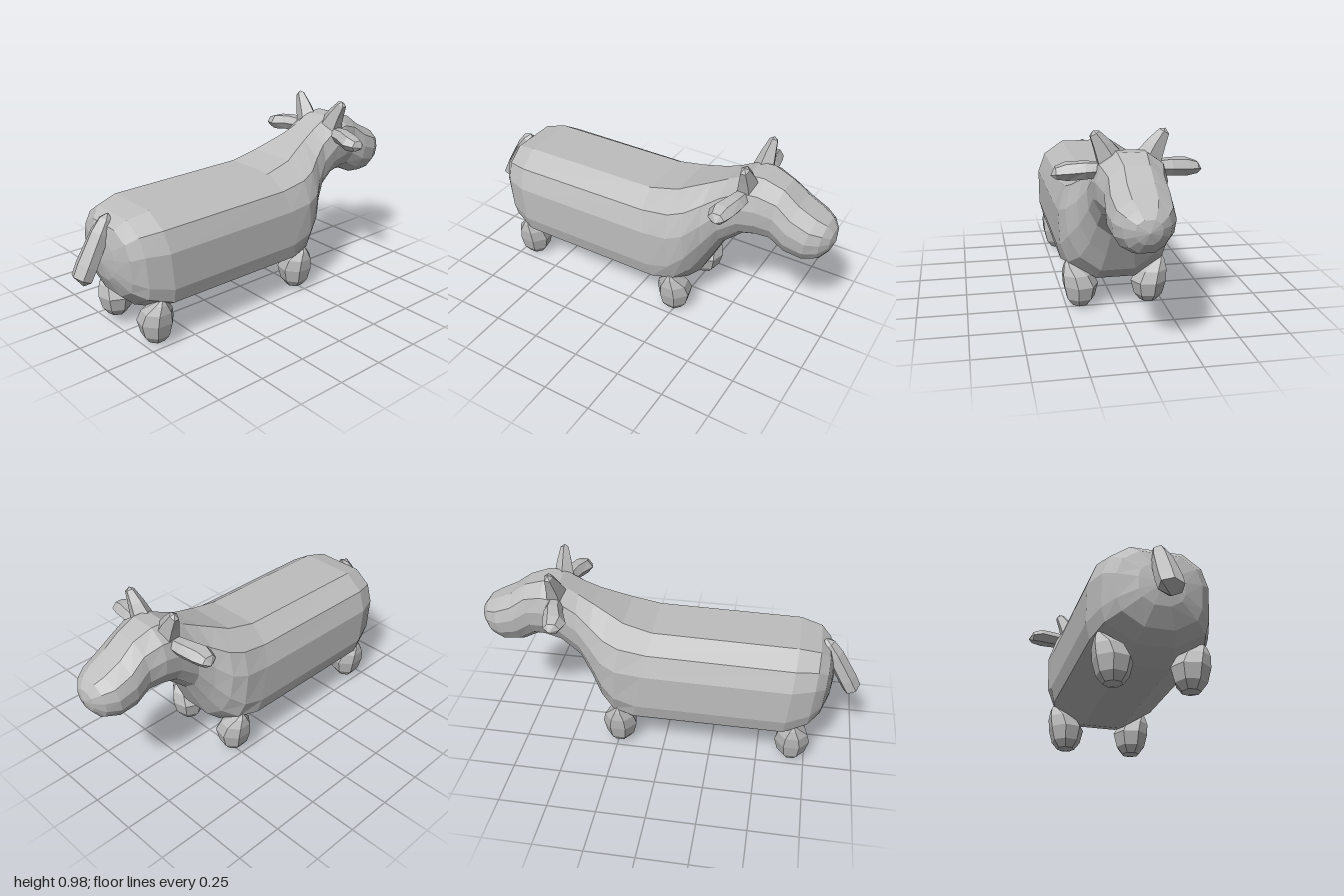
import * as THREE from 'three';

const V = (x, y, z) => new THREE.Vector3(x, y, z);
const hide = new THREE.MeshStandardMaterial({ color: 0xbebebe, flatShading: true });
hide.name = 'grey hide';

// Closed skin over rings of equal length, with a point capping each end.
function loft(name, rings, start, end) {
  const n = rings[0].length;
  const pts = [...rings.flat(), start, end];
  const a = rings.length * n, b = a + 1;
  const last = a - n;
  const idx = [];
  for (let j = 0; j < n; j++) {
    const k = (j + 1) % n;
    idx.push(a, k, j, b, last + j, last + k);
    for (let i = 0; i < rings.length - 1; i++) {
      const p = i * n, q = p + n;
      idx.push(p + j, p + k, q + j, p + k, q + k, q + j);
    }
  }
  // Turn the faces outward if the enclosed volume comes out negative.
  let volume = 0;
  for (let i = 0; i < idx.length; i += 3) {
    volume += pts[idx[i]].dot(pts[idx[i + 1]].clone().cross(pts[idx[i + 2]]));
  }
  if (volume < 0) idx.reverse();
  const indexed = new THREE.BufferGeometry().setFromPoints(pts);
  indexed.setIndex(idx);
  const geo = indexed.toNonIndexed();
  geo.computeVertexNormals();
  const mesh = new THREE.Mesh(geo, hide);
  mesh.name = name;
  return mesh;
}

// Ring around a centre, spanned by two half-axes.
function oval(center, u, v, sides) {
  return Array.from({ length: sides }, (_, i) => {
    const t = (i + 0.5) / sides * Math.PI * 2;
    return center.clone().addScaledVector(u, Math.cos(t)).addScaledVector(v, Math.sin(t));
  });
}

// Half sections (across, up), from back line to belly: boxy trunk and rounder head.
const TRUNK = [[0.5, 1], [0.86, 0.74], [1, 0.35], [1, -0.35], [0.93, -0.64], [0.36, -1]];
const HEAD = [[0.4, 1], [0.87, 0.66], [1, 0.2], [0.95, -0.3], [0.72, -0.72], [0.33, -1]];

// Top z, top y, bottom z, bottom y, half width, roundness.
const BODY = [
  [0.85, 0.53, 0.845, 0.33, 0.11, 0.5],
  [0.83, 0.60, 0.80, 0.24, 0.20, 0.3],
  [0.78, 0.645, 0.74, 0.185, 0.25, 0],
  [0.67, 0.67, 0.62, 0.135, 0.29, 0],
  [-0.07, 0.68, -0.17, 0.13, 0.285, 0],
  [-0.22, 0.715, -0.27, 0.155, 0.285, 0.4],
  [-0.30, 0.75, -0.34, 0.22, 0.26, 0.9],
  [-0.38, 0.785, -0.39, 0.32, 0.21, 1],
  [-0.46, 0.825, -0.45, 0.44, 0.175, 1],
  [-0.56, 0.88, -0.55, 0.53, 0.17, 1],
  [-0.64, 0.885, -0.64, 0.555, 0.165, 1],
  [-0.74, 0.85, -0.70, 0.55, 0.142, 1],
  [-0.82, 0.79, -0.78, 0.51, 0.15, 1],
  [-0.91, 0.745, -0.87, 0.50, 0.14, 1],
  [-0.96, 0.72, -0.94, 0.52, 0.105, 1],
  [-0.99, 0.68, -0.98, 0.57, 0.06, 1],
];

function bodyRing([zt, yt, zb, yb, w, round]) {
  const half = TRUNK.map(([x, y], i) => [
    x + (HEAD[i][0] - x) * round,
    y + (HEAD[i][1] - y) * round,
  ]);
  const outline = [...half, ...half.map(([x, y]) => [-x, y]).reverse()];
  return outline.map(([x, y]) => {
    const t = (y + 1) / 2;
    return V(x * w, yb + (yt - yb) * t, zb + (zt - zb) * t);
  });
}

// Stubby rounded leg tapering into the flank: height, radius, outward shift.
function leg(name, s, z) {
  const steps = [[0.012, 0.045, 0], [0.05, 0.075, 0], [0.12, 0.093, 0], [0.18, 0.078, 0.018], [0.225, 0.035, 0.05]];
  const rings = steps.map(([y, r, dx]) =>
    oval(V(s * (0.178 + dx), y, z), V(s * r, 0, 0), V(0, 0, r), 7));
  return loft(name, rings, V(s * 0.178, 0, z), V(s * 0.245, 0.26, z));
}

function horn(s) {
  const rings = [[0.09, 0.835, -0.57, 0.066], [0.125, 0.905, -0.575, 0.046], [0.16, 0.963, -0.58, 0.026]]
    .map(([x, y, z, r]) => oval(V(s * x, y, z), V(s * r * 0.9, -r * 0.5, 0), V(0, 0, r * 0.85), 5));
  return loft('horn', rings, V(s * 0.07, 0.8, -0.57), V(s * 0.164, 0.978, -0.58));
}

// Leaf-shaped ear: x, y, z, half height, half depth.
function ear(s) {
  const rings = [
    [0.13, 0.795, -0.565, 0.038, 0.04],
    [0.2, 0.793, -0.555, 0.044, 0.05],
    [0.28, 0.785, -0.53, 0.044, 0.06],
    [0.33, 0.78, -0.53, 0.03, 0.042],
  ].map(([x, y, z, h, d]) => oval(V(s * x, y, z), V(0, h, 0), V(0, 0, d), 6));
  return loft('ear', rings, V(s * 0.1, 0.795, -0.565), V(s * 0.352, 0.77, -0.54));
}

// Hanging tail: y, z, half width, thickness.
function tail() {
  const rings = [
    [0.62, 0.81, 0.035, 0.035],
    [0.56, 0.85, 0.052, 0.042],
    [0.42, 0.93, 0.064, 0.044],
    [0.36, 0.962, 0.062, 0.042],
  ].map(([y, z, w, t]) => oval(V(0, y, z), V(w, 0, 0), V(0, t * 0.5, t), 6));
  return loft('tail', rings, V(0, 0.65, 0.8), V(0, 0.318, 0.955));
}

export function createModel() {
  const group = new THREE.Group();
  group.name = 'horned animal';
  group.add(loft('body', BODY.map(bodyRing), V(0, 0.43, 0.865), V(0, 0.625, -1)));
  for (const s of [-1, 1]) {
    group.add(leg('hindLeg', s, 0.68), leg('frontLeg', s, -0.24), horn(s), ear(s));
  }
  group.add(tail());
  return group;
}
